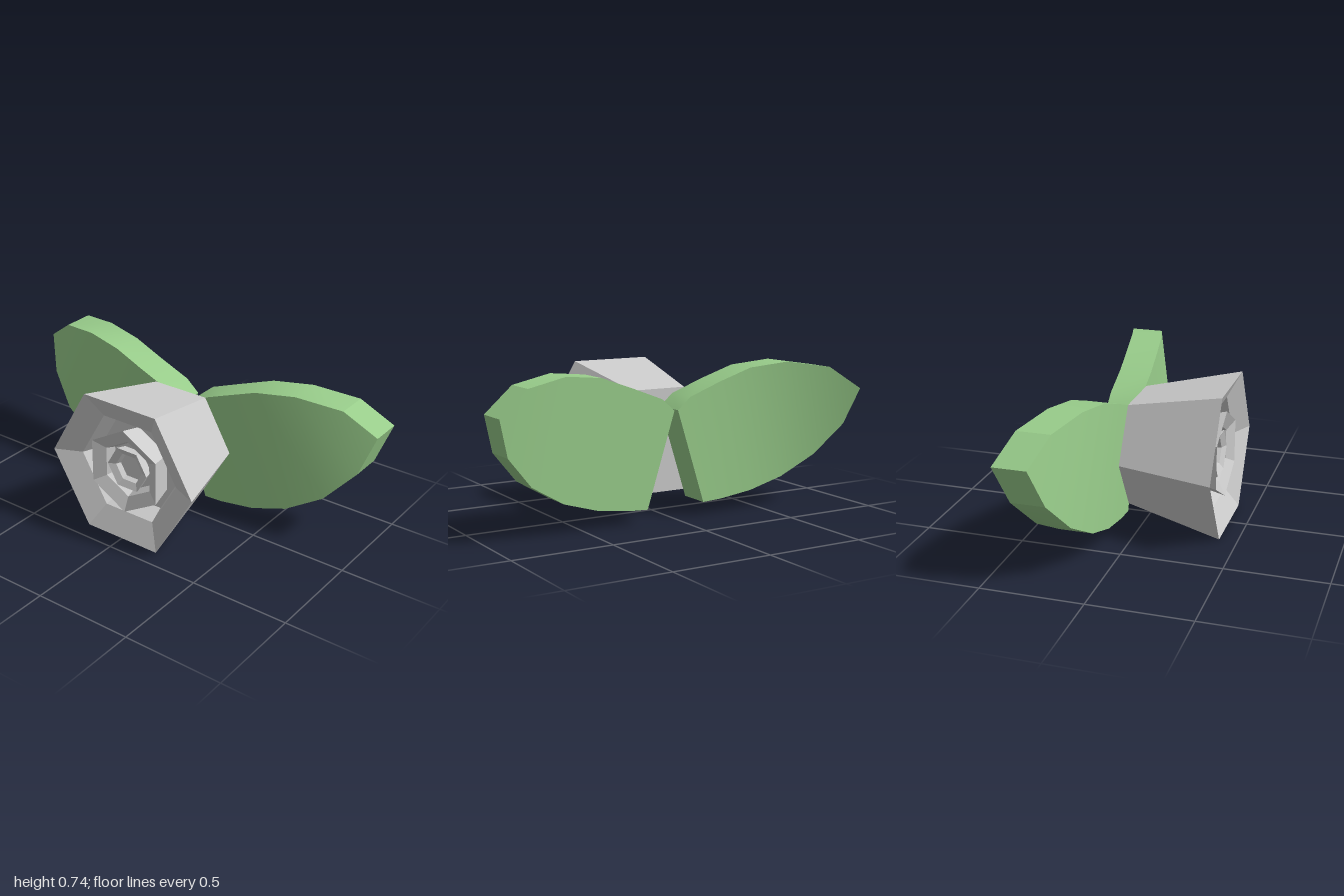
import * as THREE from 'three';
import { toCreasedNormals } from 'three/addons/utils/BufferGeometryUtils.js';

const CENTRE_Y = 0.367;

// Six-sided cup with a sloping rim and a recessed floor, opening towards +z
function petalCup(scale, rimZ, depth, turn) {
  const profile = [
    [0, -depth], [0.42 - 0.25 * depth, -depth], [0.42, 0],
    [0.285, -0.06], [0.25, -0.15], [0, -0.15],
  ].map(([r, z]) => new THREE.Vector2(r * scale, z * scale));
  const geo = new THREE.LatheGeometry(profile, 6, Math.PI / 2 + turn);
  geo.rotateX(Math.PI / 2);
  geo.translate(0, CENTRE_Y, rimZ);
  return geo;
}

// Pairs across the leaf from base to tip: upper x, y, lower x, y
const LEAF_SECTIONS = [
  [0.01, 0.54, 0.16, 0.07],
  [0.08, 0.6, 0.26, 0.075],
  [0.25, 0.665, 0.44, 0.1],
  [0.42, 0.725, 0.62, 0.155],
  [0.62, 0.747, 0.8, 0.26],
  [0.84, 0.714, 0.94, 0.415],
  [1, 0.6, 1, 0.6],
];

// Thick leaf that curls backwards towards its tip
function leafGeometry(side) {
  const thickness = 0.165;
  const pos = [];
  const point = (x, y, back) => {
    const along = Math.max(0, 0.94 * x + 0.34 * (y - 0.3)) / 1.04;
    return [x * side, y, -0.07 - 0.175 * along ** 3.1 - back * thickness];
  };
  const tri = (a, b, c) => pos.push(...a, ...(side > 0 ? b : c), ...(side > 0 ? c : b));
  const quad = (a, b, c, d) => { tri(a, b, c); tri(a, c, d); };
  const rings = LEAF_SECTIONS.map(([ux, uy, lx, ly]) => [
    point(ux, uy, 0), point(lx, ly, 0), point(lx, ly, 1), point(ux, uy, 1),
  ]);
  const last = rings.length - 1;
  for (let i = 0; i < last; i++) {
    for (let j = 0; j < 4; j++) {
      const k = (j + 1) % 4;
      const [a, b, c, d] = [rings[i][j], rings[i][k], rings[i + 1][k], rings[i + 1][j]];
      // the final section is a single edge, so its faces close to triangles
      if (i === last - 1 && j % 2 === 0) tri(a, b, c);
      else quad(a, b, c, d);
    }
  }
  quad(rings[0][3], rings[0][2], rings[0][1], rings[0][0]); // base end
  const geo = new THREE.BufferGeometry();
  geo.setAttribute('position', new THREE.Float32BufferAttribute(pos, 3));
  return toCreasedNormals(geo, 0.4);
}

export function createModel() {
  const model = new THREE.Group();
  model.name = 'flower';
  const petalMat = new THREE.MeshStandardMaterial({ color: 0xcccccc, flatShading: true });
  const leafMat = new THREE.MeshStandardMaterial({ color: 0x98cc8a });

  // Nested cups, each smaller and turned by half a side
  const names = ['outerPetals', 'middlePetals', 'innerPetals'];
  names.forEach((name, i) => {
    const geo = petalCup(0.53 ** i, 0.41 - 0.025 * i, i ? 0.3 : 0.48, i * Math.PI / 6);
    const cup = new THREE.Mesh(geo, petalMat);
    cup.name = name;
    model.add(cup);
  });

  // Two mirrored leaves
  for (const side of [1, -1]) {
    const leaf = new THREE.Mesh(leafGeometry(side), leafMat);
    leaf.name = side > 0 ? 'leftLeaf' : 'rightLeaf';
    model.add(leaf);
  }
  return model;
}
